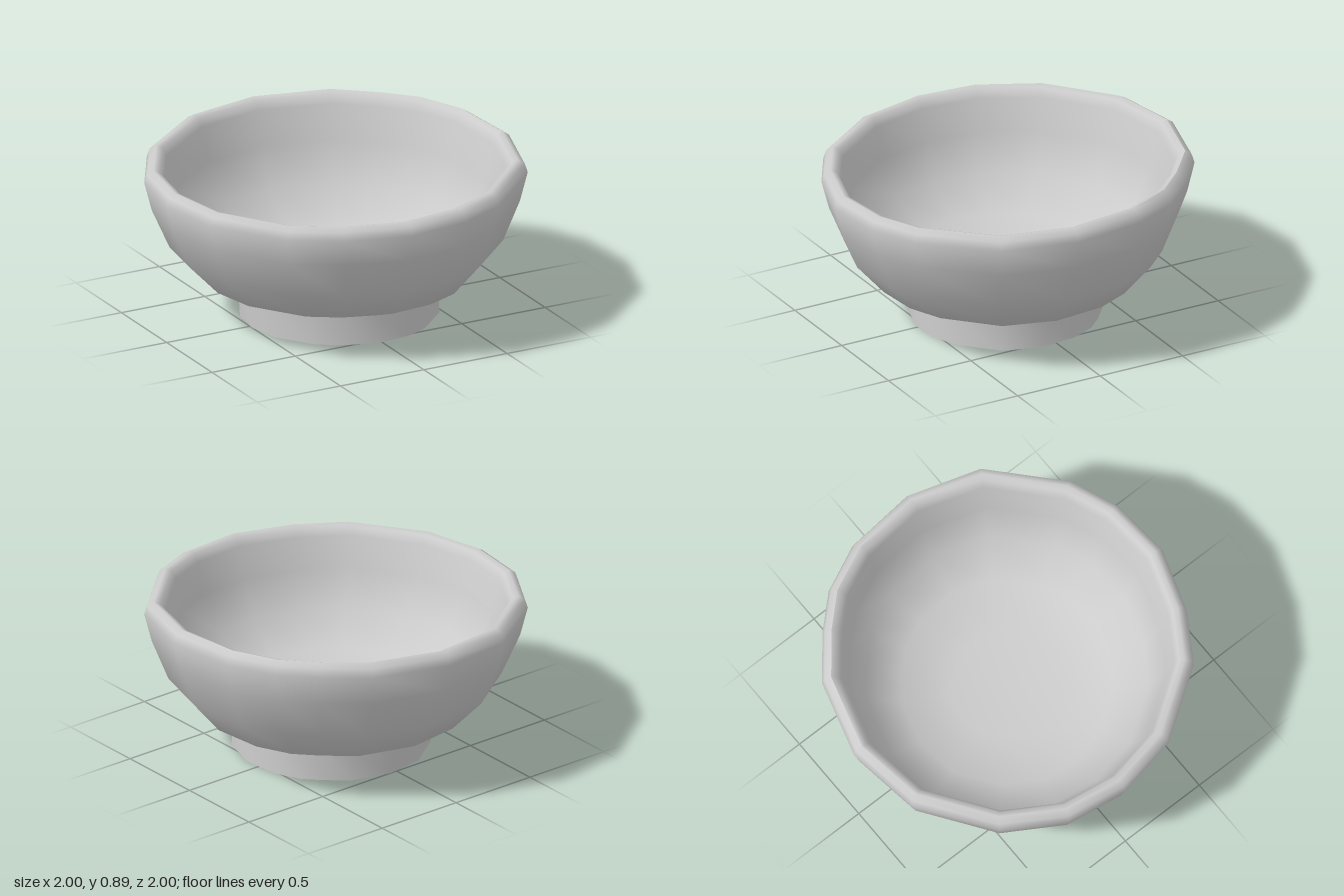
import * as THREE from 'three';
import { mergeVertices, toCreasedNormals } from 'three/addons/utils/BufferGeometryUtils.js';

// Uneven hand-thrown outline (x, z), starting at the front and running towards +x
const OUTLINE = [
  [-0.07, 1], [0.27, 0.97], [0.53, 0.86], [0.88, 0.53], [1, 0.13], [0.96, -0.27],
  [0.84, -0.53], [0.68, -0.7], [0.46, -0.88], [0.04, -1], [-0.37, -0.94], [-0.76, -0.66],
  [-0.95, -0.34], [-1, 0], [-0.93, 0.35], [-0.67, 0.73], [-0.41, 0.89],
];

// Radius and height: recessed underside, foot, outer wall, rim, inner wall, floor
const PROFILE = [
  [0, 0.11], [0.4, 0.1], [0.49, 0.01],
  [0.52, 0.01], [0.52, 0.165],
  [0.71, 0.24], [0.87, 0.42], [0.96, 0.64], [1, 0.8],
  [0.985, 0.845], [0.95, 0.867], [0.92, 0.855], [0.895, 0.81],
  [0.85, 0.63], [0.76, 0.43], [0.57, 0.28], [0.3, 0.235], [0, 0.23],
];

export function createModel() {
  const group = new THREE.Group();
  const sides = OUTLINE.length;
  const lathe = new THREE.LatheGeometry(PROFILE.map(([r, y]) => new THREE.Vector2(r, y)), sides);
  lathe.deleteAttribute('uv');
  lathe.deleteAttribute('normal');

  // Fit each ring to the outline, shift the foot a little and tilt the rim
  const pos = lathe.attributes.position;
  for (let i = 0; i <= sides; i++) {
    const [ox, oz] = OUTLINE[i % sides];
    PROFILE.forEach(([r, y], j) => {
      const shift = 0.02 * Math.max(0, 1 - y / 0.5);
      const x = ox * r, z = oz * r;
      const tilt = 0.024 * (x - z) * Math.max(0, (y - 0.2) / 0.67);
      pos.setXYZ(i * PROFILE.length + j, x + shift, y + tilt, z + shift);
    });
  }

  // Smooth clay surface with sharp edges only around the foot
  const geometry = toCreasedNormals(mergeVertices(lathe, 1e-4), THREE.MathUtils.degToRad(56));
  const bowl = new THREE.Mesh(geometry, new THREE.MeshStandardMaterial({ color: 0xcccccc }));
  bowl.name = 'bowl';
  group.add(bowl);
  return group;
}
